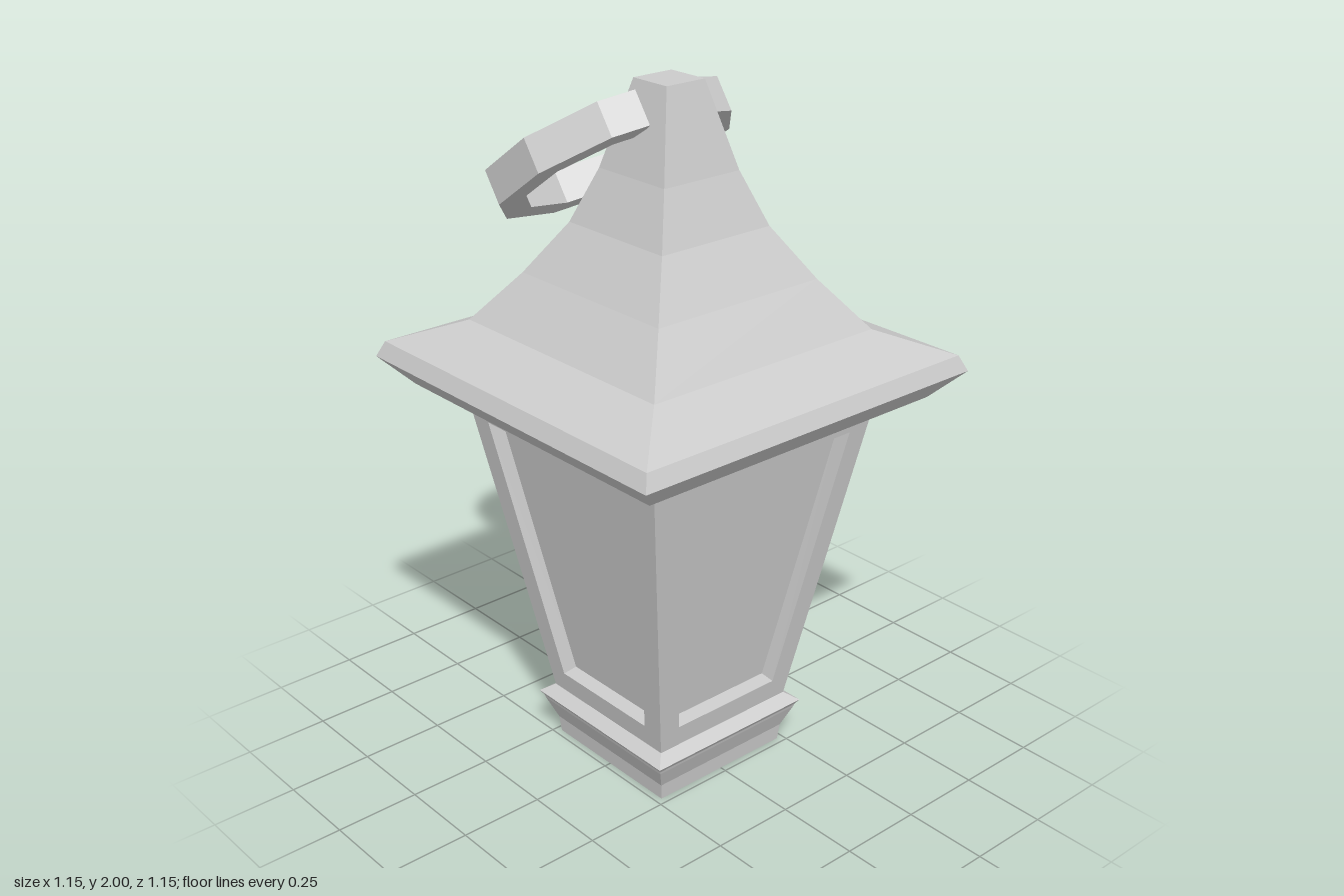
import * as THREE from 'three';

const material = new THREE.MeshStandardMaterial({ color: 0xcccccc, flatShading: true });

function addMesh(parent, name, geometry) {
  const mesh = new THREE.Mesh(geometry, material);
  mesh.name = name;
  parent.add(mesh);
  return mesh;
}

// Flat-faced skin over successive four-corner loops, with optional end caps
function loft(loops, capStart, capEnd) {
  const pos = [];
  const quad = (a, b, c, d) => [a, b, c, a, c, d].forEach((p) => pos.push(...p));
  for (let k = 0; k < loops.length - 1; k++) {
    for (let i = 0; i < 4; i++) {
      const j = (i + 1) % 4;
      quad(loops[k][i], loops[k][j], loops[k + 1][j], loops[k + 1][i]);
    }
  }
  if (capStart) quad(...[...loops[0]].reverse());
  if (capEnd) quad(...loops[loops.length - 1]);
  const geometry = new THREE.BufferGeometry();
  geometry.setAttribute('position', new THREE.Float32BufferAttribute(pos, 3));
  geometry.computeVertexNormals();
  return geometry;
}

// Square loop of half width h at height y
const square = ([h, y]) => [[-h, y, h], [h, y, h], [h, y, -h], [-h, y, -h]];

export function createModel() {
  const lantern = new THREE.Group();
  lantern.name = 'lantern';

  // Moulded square foot
  const foot = [[0.23, 0], [0.235, 0.05], [0.262, 0.115], [0.265, 0.125], [0.275, 0.14], [0.24, 0.165]];
  addMesh(lantern, 'base', loft(foot.map(square), true, true));

  // Four tapering sides, each a frame around a recessed pane
  const y0 = 0.165, y1 = 1.11, h0 = 0.24, h1 = 0.4, depth = 0.045;
  const faceZ = (y) => h0 + ((y - y0) * (h1 - h0)) / (y1 - y0);
  const trapezoid = (bottomY, bottomX, topY, topX, inset) => [
    [-bottomX, bottomY, faceZ(bottomY) - inset], [bottomX, bottomY, faceZ(bottomY) - inset],
    [topX, topY, faceZ(topY) - inset], [-topX, topY, faceZ(topY) - inset],
  ];
  const side = loft([
    trapezoid(y0, h0, y1, h1, 0),
    trapezoid(0.232, 0.183, 1.04, 0.318, 0),
    trapezoid(0.238, 0.182, 1.04, 0.317, depth),
  ], false, true);
  for (let i = 0; i < 4; i++) {
    addMesh(lantern, 'sidePanel', side).rotation.y = (i * Math.PI) / 2;
  }

  // Flared roof with bevelled eaves
  const roof = [
    [0.4, 1.11], [0.5, 1.13], [0.575, 1.21], [0.555, 1.255], [0.387, 1.325],
    [0.28, 1.465], [0.188, 1.61], [0.13, 1.76], [0.065, 2],
  ];
  addMesh(lantern, 'roof', loft(roof.map(square), true, true));

  // Open ten-sided carrying ring, tilted towards one side
  const outer = 0.349, inner = 0.27, step = Math.PI / 5;
  const arc = (radius) => {
    const points = [];
    for (let i = 0; i <= 10; i++) {
      const end = i === 0 || i === 10;
      const angle = i === 0 ? step / 2 : i === 10 ? 9.5 * step : i * step;
      const r = end ? radius * Math.cos(step / 2) : radius;
      points.push(new THREE.Vector2(r * Math.cos(angle), r * Math.sin(angle)));
    }
    return points;
  };
  const outline = new THREE.Shape([...arc(outer), ...arc(inner).reverse()]);
  const ring = addMesh(lantern, 'handleRing',
    new THREE.ExtrudeGeometry(outline, { depth: 0.1, bevelEnabled: false }));
  const tilt = THREE.MathUtils.degToRad(35);
  const c = Math.cos(tilt), s = Math.sin(tilt);
  ring.quaternion.setFromRotationMatrix(new THREE.Matrix4().makeBasis(
    new THREE.Vector3(c, s, 0), new THREE.Vector3(0, 0, 1), new THREE.Vector3(s, -c, 0)));
  ring.position.set(-0.272, 1.803, 0);

  return lantern;
}
